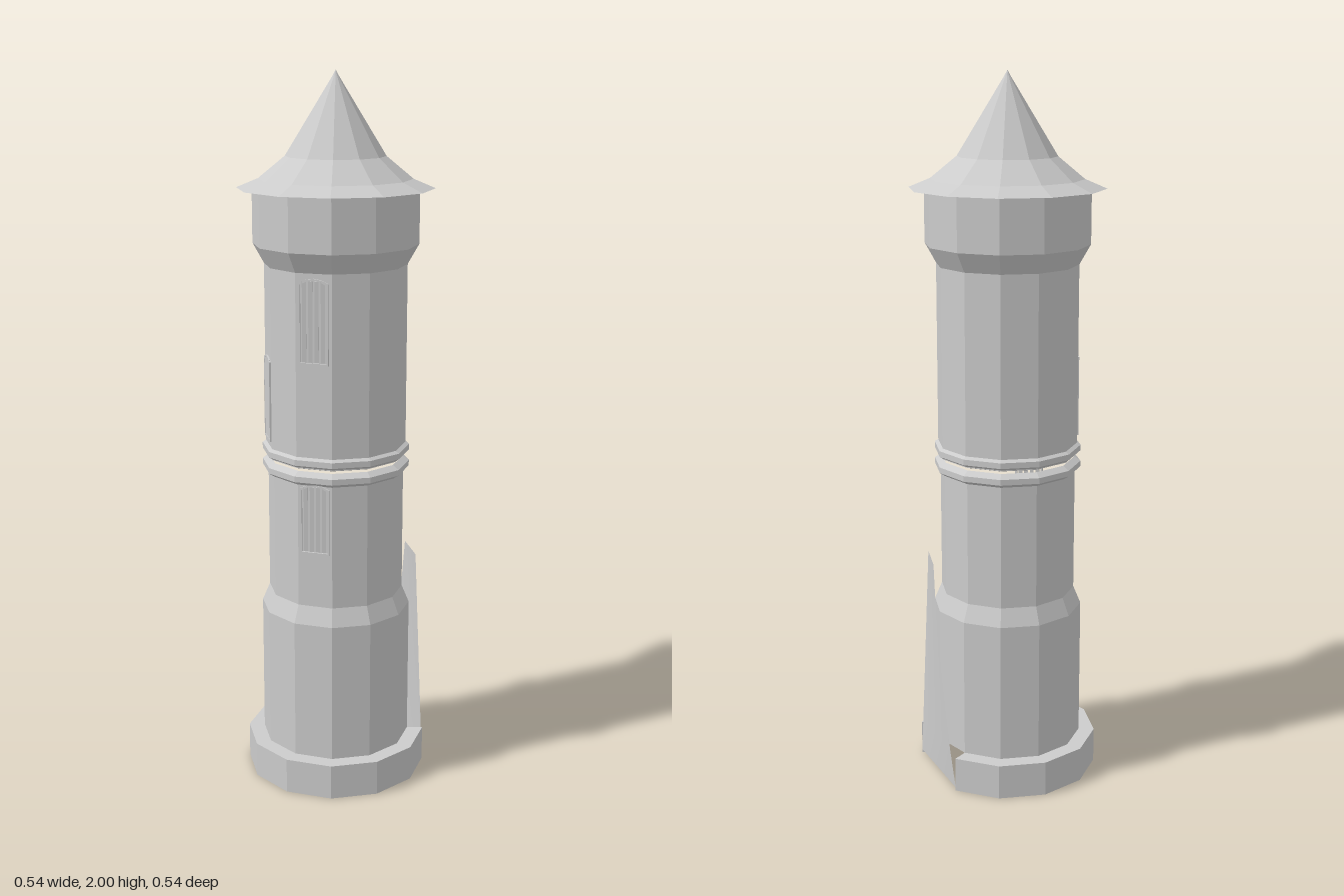
import * as THREE from 'three';

const SIDES = 12;
const TURN = THREE.MathUtils.degToRad(7); // angle of the first corner, from +z towards +x
const STEP = (Math.PI * 2) / SIDES;

const flat = new THREE.MeshStandardMaterial({ color: 0xcccccc, flatShading: true });
const flatDouble = new THREE.MeshStandardMaterial({ color: 0xcccccc, flatShading: true, side: THREE.DoubleSide });
const smoothDouble = new THREE.MeshStandardMaterial({ color: 0xcccccc, side: THREE.DoubleSide });

function part(name, geometry, material = flat) {
  const mesh = new THREE.Mesh(geometry, material);
  mesh.name = name;
  return mesh;
}

// Twelve-sided turned solid, optionally leaving out some sides
function turned(profile, firstSide = 0, sides = SIDES) {
  const points = profile.map(([r, y]) => new THREE.Vector2(r, y));
  return new THREE.LatheGeometry(points, sides, TURN + firstSide * STEP, sides * STEP);
}

// Point on a circle; the angle runs from +z towards +x
const around = (r, angle, y) => new THREE.Vector3(r * Math.sin(angle), y, r * Math.cos(angle));

function archShape(w, h, rise) {
  const s = new THREE.Shape();
  s.moveTo(-w / 2, 0);
  s.lineTo(w / 2, 0);
  s.lineTo(w / 2, h - rise);
  s.quadraticCurveTo(0, h + rise, -w / 2, h - rise);
  return s;
}

// Arched window with a thin frame and upright slats, lying on one wall face
function makeWindow(name, side, y, height, radius) {
  const group = new THREE.Group();
  group.name = name;
  const angle = TURN + (side + 0.5) * STEP;
  const wall = radius * Math.cos(STEP / 2);

  const outline = archShape(0.084, height, 0.012);
  const opening = archShape(0.074, height - 0.01, 0.012);
  opening.getPoints(4);
  const hole = new THREE.Path(opening.getPoints(4).map((p) => new THREE.Vector2(p.x, p.y + 0.005)));
  outline.holes.push(hole);
  group.add(part('windowFrame', new THREE.ExtrudeGeometry(outline, { depth: 0.008, bevelEnabled: false, curveSegments: 4 })));

  for (let i = 0; i < 4; i++) {
    const slat = part('windowSlat', new THREE.BoxGeometry(0.011, height - 0.014, 0.007));
    slat.position.set((i - 1.5) * 0.0175, height / 2, 0.0035);
    slat.rotation.y = 0.25;
    group.add(slat);
  }
  group.position.copy(around(wall - 0.003, angle, y));
  group.rotation.y = angle;
  return group;
}

export function createModel() {
  const tower = new THREE.Group();
  tower.name = 'tower';

  // Base ring, open over two sides
  const inner = 0.212, outer = 0.257;
  tower.add(part('baseRing', turned(
    [[inner, 0.1], [inner, 0], [outer, 0], [outer, 0.1], [inner, 0.1]], 5, 10)));
  for (const corner of [3, 5]) {
    const angle = TURN + corner * STEP;
    const end = part('baseRingEnd', new THREE.PlaneGeometry(outer - inner, 0.1), flatDouble);
    end.position.copy(around((inner + outer) / 2, angle, 0.05));
    end.rotation.y = angle - Math.PI / 2;
    tower.add(end);
  }

  // Shaft with its shoulder, floor and flared top
  tower.add(part('lowerShaft', turned(
    [[0, 0.1], [0.212, 0.1], [0.212, 0.5], [0.191, 0.55], [0.191, 0.92]])));
  tower.add(part('upperShaft', turned(
    [[0.197, 0.95], [0.197, 1.485], [0.228, 1.54], [0.228, 1.7]])));

  // Two mouldings around the middle
  for (const y of [0.9, 0.947]) {
    tower.add(part('moulding', turned(
      [[0.189, y], [0.207, y + 0.012], [0.207, y + 0.028], [0.189, y + 0.04]])));
  }

  // Roof with a wide, shallow eave sweeping up to a point
  tower.add(part('roof', turned(
    [[0.27, 1.69], [0.21, 1.715], [0.137, 1.775], [0.008, 1.985], [0, 2]]), flatDouble));

  // Windows
  tower.add(makeWindow('upperFrontWindow', -1, 1.24, 0.232, 0.197));
  tower.add(makeWindow('lowerFrontWindow', -1, 0.705, 0.2, 0.191));
  tower.add(makeWindow('sideWindow', -3, 1.0, 0.237, 0.197));

  // Leaning slab above the gap in the base, narrowing upwards
  const slab = new THREE.PlaneGeometry(1, 1, 2, 6);
  const pos = slab.attributes.position;
  for (let i = 0; i < pos.count; i++) {
    const u = pos.getX(i) + 0.5, v = pos.getY(i) + 0.5;
    const r = THREE.MathUtils.lerp(0.257, 0.23, v);
    const y = THREE.MathUtils.lerp(0.01, 0.645, v);
    const near = around(r, TURN + 3 * STEP, y);
    const far = around(r, TURN + (5 - v) * STEP, y);
    near.lerp(far, u);
    pos.setXYZ(i, near.x, near.y, near.z);
  }
  slab.computeVertexNormals();
  tower.add(part('leaningSlab', slab, smoothDouble));

  return tower;
}
